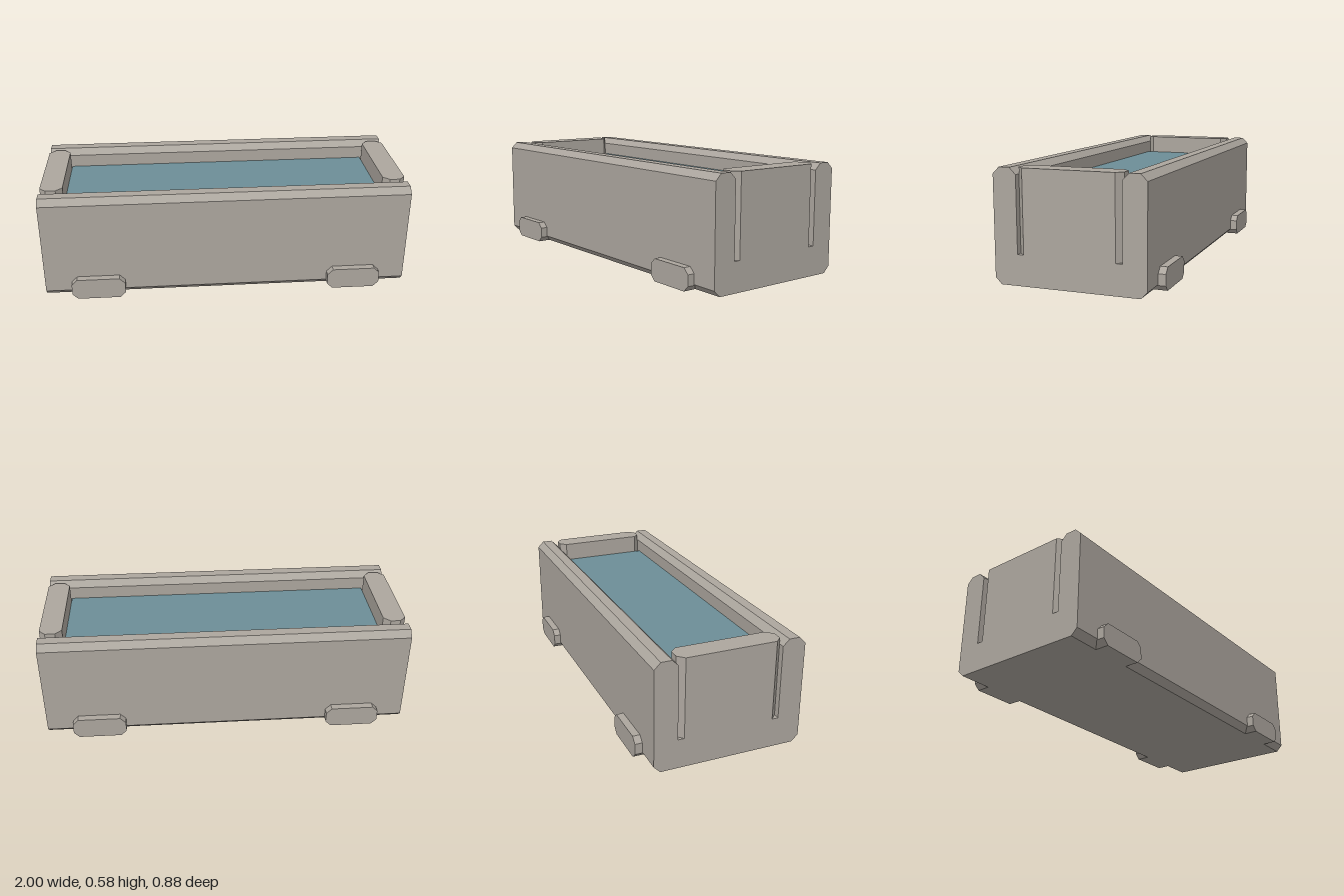
import * as THREE from 'three';

const stone = new THREE.MeshStandardMaterial({ color: 0xaca69e, flatShading: true });
const water = new THREE.MeshStandardMaterial({ color: 0x6c8e97, flatShading: true });

const C = 0.034;      // bevel size
const H = 0.585;      // overall height
const FLOOR = 0.158;  // bottom of the channel
const INNER = 0.275;  // half width of the channel
const OUTER = 0.4;    // half width of the body

// Straight prism of an outline, centred along its depth
function prism(points, depth) {
  const shape = new THREE.Shape(points.map(([x, y]) => new THREE.Vector2(x, y)));
  return new THREE.ExtrudeGeometry(shape, { depth, bevelEnabled: false }).translate(0, 0, -depth / 2);
}

// Rectangle with four cut corners, centred on the origin
function cutRect(w, h, c) {
  const a = w / 2, b = h / 2;
  return [[-a + c, -b], [a - c, -b], [a, -b + c], [a, b - c], [a - c, b], [-a + c, b], [-a, b - c], [-a, -b + c]];
}

export function createModel() {
  const group = new THREE.Group();
  const add = (name, geometry, material, x = 0, y = 0, z = 0) => {
    const mesh = new THREE.Mesh(geometry, material);
    mesh.name = name;
    mesh.position.set(x, y, z);
    group.add(mesh);
  };

  // Trough body: U-shaped section with bevelled rims and lower edges
  const half = [
    [OUTER - C, 0], [OUTER, C], [OUTER, H - C], [OUTER - C, H],
    [INNER + C, H], [INNER, H - C], [INNER, FLOOR],
  ];
  const mirrored = half.map(([z, y]) => [-z, y]).reverse();
  add('troughBody', prism([...half, ...mirrored], 2).rotateY(Math.PI / 2), stone);

  // End walls with bevelled upright corners
  const wall = prism(cutRect(0.122, INNER * 2, C), H - FLOOR).rotateX(-Math.PI / 2);
  for (const side of [1, -1]) {
    add(side > 0 ? 'leftEndWall' : 'rightEndWall', wall, stone, side * 0.939, (H + FLOOR) / 2, 0);
  }

  // Water filling the channel
  const level = 0.48;
  add('water', new THREE.BoxGeometry(1.756, level - FLOOR, INNER * 2), water, 0, (level + FLOOR) / 2, 0);

  // Four feet projecting from the long sides
  const foot = prism(cutRect(0.292, 0.118, 0.03), 0.075);
  for (const x of [0.708, -0.708]) {
    for (const z of [1, -1]) {
      add(`${z > 0 ? 'front' : 'back'}${x > 0 ? 'Left' : 'Right'}Foot`, foot, stone, x, 0.059, z * 0.4015);
    }
  }

  return group;
}
